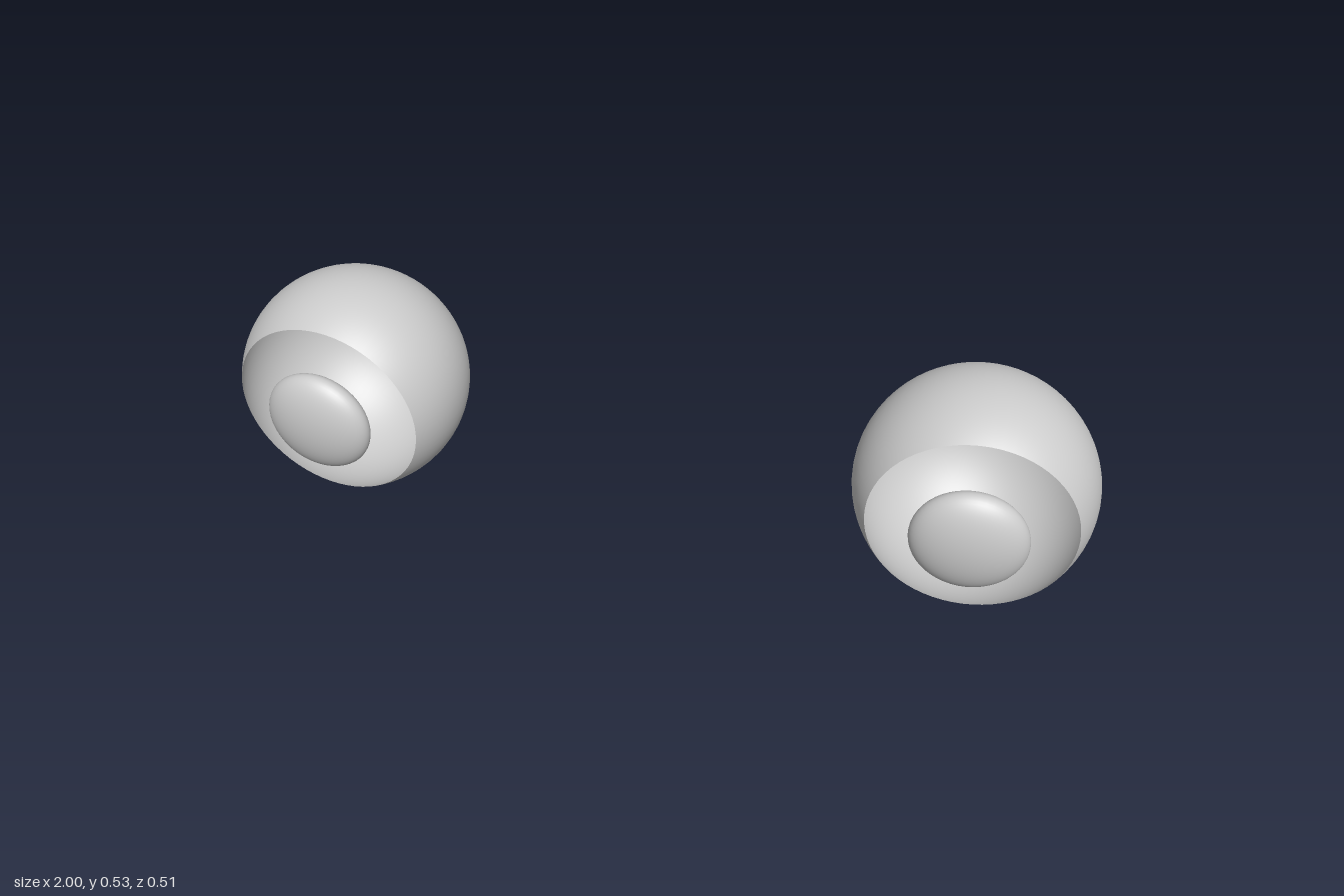
import * as THREE from 'three';

const R = 0.267;          // eyeball radius
const OPENING = 1.005;    // half angle of the front opening

// One eye: an open hollow ball with a flattened pupil in front; side is +1 (left) or -1 (right)
function createEye(side, name) {
  const eye = new THREE.Group();
  eye.name = name;
  const material = new THREE.MeshStandardMaterial({ color: 0xcccccc, side: THREE.DoubleSide });

  // the opening looks slightly outward and down
  const axis = new THREE.Vector3(0.065 * side, -0.034, 1).normalize();
  const turn = new THREE.Quaternion().setFromUnitVectors(new THREE.Vector3(0, 1, 0), axis);

  const ball = new THREE.Mesh(
    new THREE.SphereGeometry(R, 64, 40, 0, Math.PI * 2, OPENING, Math.PI - OPENING), material);
  ball.name = 'eyeball';
  ball.quaternion.copy(turn);
  ball.position.set(0.733 * side, R, 0.015);

  const pupil = new THREE.Mesh(new THREE.SphereGeometry(1, 48, 32), material);
  pupil.name = 'pupil';
  pupil.scale.set(0.127, 0.054, 0.127);
  pupil.quaternion.copy(turn);
  pupil.position.set(0.743 * side, 0.265, 0.199);

  eye.add(ball, pupil);
  return eye;
}

export function createModel() {
  const model = new THREE.Group();
  model.name = 'eyes';
  model.add(createEye(1, 'leftEye'), createEye(-1, 'rightEye'));
  return model;
}
